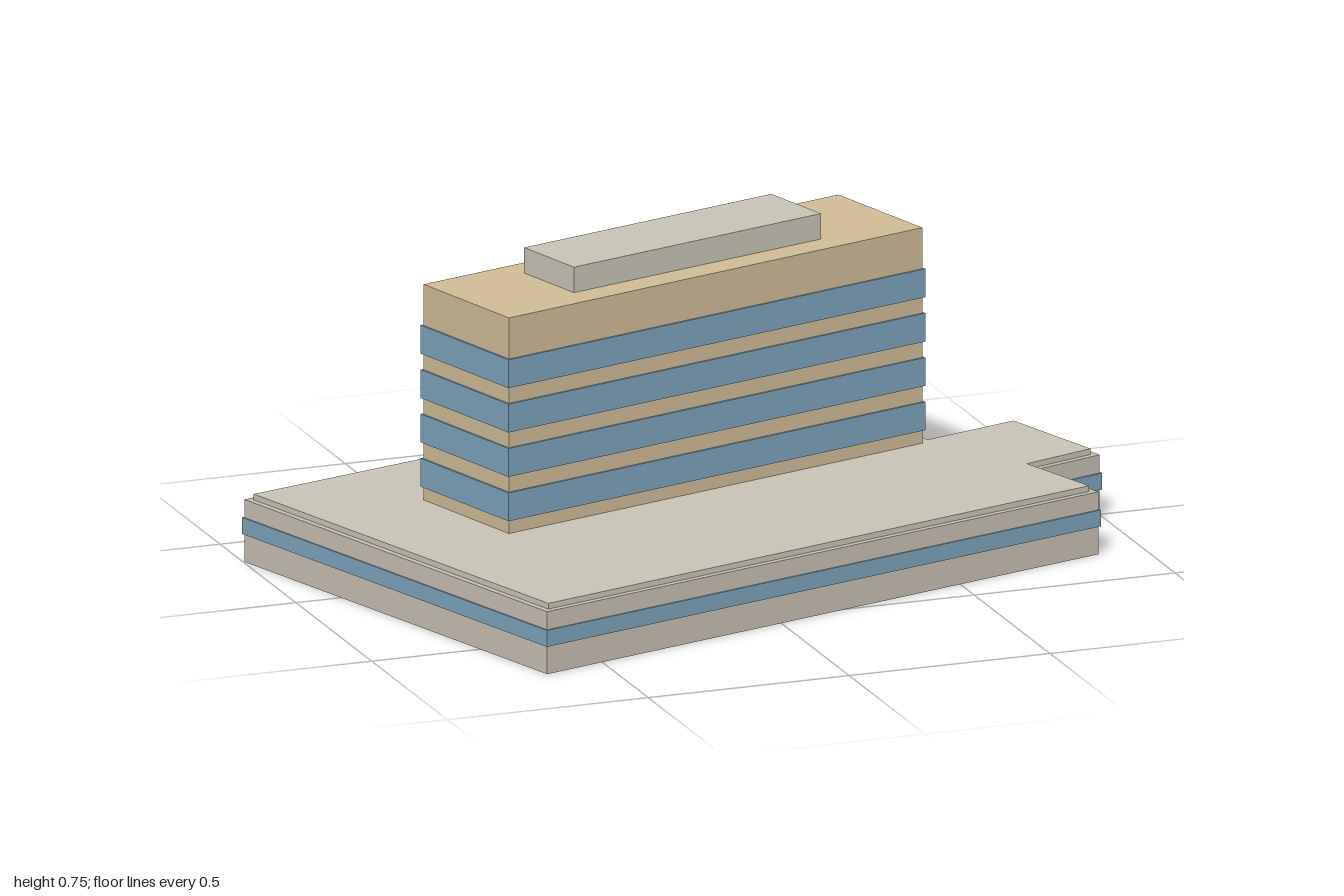
import * as THREE from 'three';

// Footprints as [x, z] corners, clockwise seen from above
const PODIUM = [
  [-0.997, -0.348], [0.464, -0.743], [0.66, -0.195], [0.9, -0.267],
  [0.993, 0.021], [0.812, 0.08], [0.886, 0.297], [-0.654, 0.741],
];
const WING_BACK = 2; // index of the plain wall edge behind the side wing
const TOWER = [[-0.624, -0.154], [0.533, -0.484], [0.623, -0.168], [-0.533, 0.168]];
const PENTHOUSE = [[-0.373, -0.156], [0.317, -0.354], [0.37, -0.166], [-0.32, 0.032]];

// Moves every edge outwards by distance(edgeIndex) and intersects neighbours
function offset(points, distance) {
  const edges = points.map(([x, z], i) => {
    const [x2, z2] = points[(i + 1) % points.length];
    const len = Math.hypot(x2 - x, z2 - z);
    const dx = (x2 - x) / len, dz = (z2 - z) / len, d = distance(i);
    return { x: x + dz * d, z: z - dx * d, dx, dz };
  });
  return edges.map((b, i) => {
    const a = edges[(i + edges.length - 1) % edges.length];
    const t = ((b.x - a.x) * b.dz - (b.z - a.z) * b.dx) / (a.dx * b.dz - a.dz * b.dx);
    return [a.x + a.dx * t, a.z + a.dz * t];
  });
}

// Upright prism over a footprint
function prism(name, points, y0, y1, material) {
  const shape = new THREE.Shape(points.map(([x, z]) => new THREE.Vector2(x, -z)));
  const geometry = new THREE.ExtrudeGeometry(shape, { depth: y1 - y0, bevelEnabled: false });
  geometry.rotateX(-Math.PI / 2).translate(0, y0, 0);
  const mesh = new THREE.Mesh(geometry, material);
  mesh.name = name;
  return mesh;
}

function paint(name, color) {
  const material = new THREE.MeshStandardMaterial({ color });
  material.name = name;
  return material;
}

export function createModel() {
  const stone = paint('podium stone', 0xc8c0b4);
  const roof = paint('roof grey', 0xc9c5b7);
  const sand = paint('sand facade', 0xd2bd98);
  const glass = paint('blue glass', 0x7ea4bc);

  const model = new THREE.Group();
  model.name = 'officeBuilding';

  // Podium with a window strip on all walls but the wing's back, and a stepped roof
  const podium = new THREE.Group();
  podium.name = 'podium';
  podium.add(
    prism('podiumWalls', PODIUM, 0, 0.152, stone),
    prism('podiumWindows', offset(PODIUM, i => (i === WING_BACK ? -0.005 : 0.004)), 0.068, 0.108, glass),
    prism('podiumRoof', offset(PODIUM, i => (i === WING_BACK ? 0 : -0.015)), 0.152, 0.166, roof),
  );

  // Tower with four window bands
  const tower = new THREE.Group();
  tower.name = 'tower';
  tower.add(prism('towerWalls', TOWER, 0.166, 0.691, sand));
  const bandOutline = offset(TOWER, () => 0.005);
  for (let floor = 0; floor < 4; floor++) {
    const y = 0.198 + floor * 0.108;
    tower.add(prism(`windowBand${floor + 1}`, bandOutline, y, y + 0.069, glass));
  }

  // Plant room on the tower roof
  tower.add(prism('plantRoom', PENTHOUSE, 0.691, 0.753, roof));

  model.add(podium, tower);
  return model;
}
